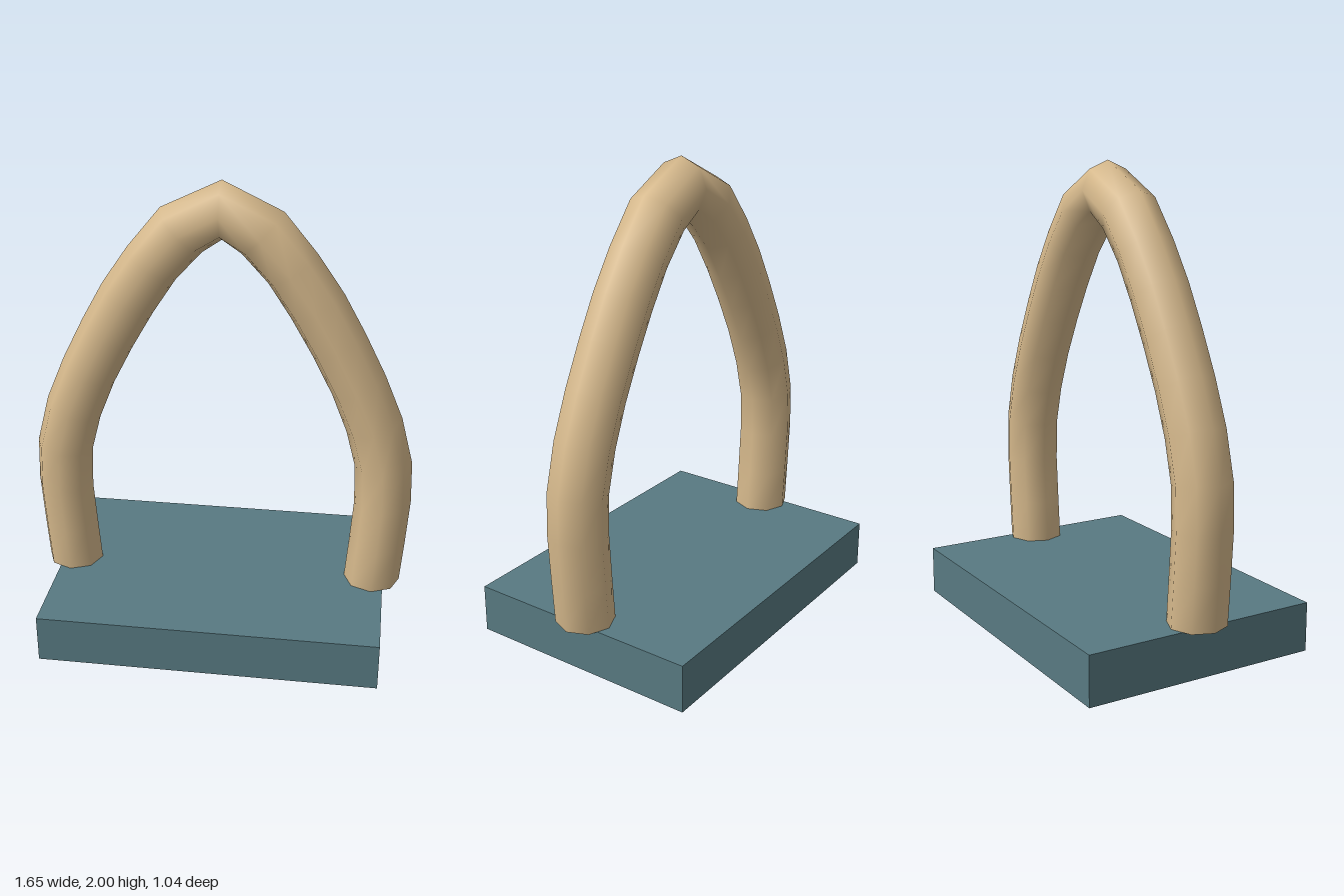
import * as THREE from 'three';

const SIDES = 8;
const RADIUS = 0.1225;

// One half of the arch, foot to peak: [outer x, outer y, inner x, inner y]
const halfArch = [
  [0.8, 0.21, 0.555, 0.21],
  [0.814, 0.4, 0.569, 0.39],
  [0.827, 0.61, 0.583, 0.59],
  [0.82, 0.8, 0.577, 0.77],
  [0.765, 1.01, 0.535, 0.93],
  [0.685, 1.2, 0.467, 1.1],
  [0.592, 1.385, 0.38, 1.27],
  [0.5, 1.55, 0.288, 1.43],
  [0.39, 1.71, 0.19, 1.58],
  [0.25, 1.88, 0.08, 1.7],
  [0, 2, 0, 1.755],
];

// Sweeps an eight-sided ring through the outer and inner outline pairs
function archGeometry() {
  const mirrored = halfArch.slice(0, -1).reverse().map(([ox, oy, ix, iy]) => [-ox, oy, -ix, iy]);
  const rings = [...halfArch, ...mirrored];
  const positions = [];
  const indices = [];
  rings.forEach(([ox, oy, ix, iy], i) => {
    for (let j = 0; j < SIDES; j++) {
      const a = (j / SIDES) * Math.PI * 2;
      const t = (1 + Math.cos(a)) / 2;
      positions.push(ix + (ox - ix) * t, iy + (oy - iy) * t, RADIUS * Math.sin(a));
      if (i < rings.length - 1) {
        const p = i * SIDES + j;
        const q = i * SIDES + ((j + 1) % SIDES);
        indices.push(p, p + SIDES, q, q, p + SIDES, q + SIDES);
      }
    }
  });
  const geometry = new THREE.BufferGeometry();
  geometry.setAttribute('position', new THREE.Float32BufferAttribute(positions, 3));
  geometry.setIndex(indices);
  geometry.computeVertexNormals();
  return geometry;
}

export function createModel() {
  const tan = new THREE.MeshStandardMaterial({ color: 0xd6b98c, side: THREE.DoubleSide });
  tan.name = 'tan';
  const slateTeal = new THREE.MeshStandardMaterial({ color: 0x587a82 });
  slateTeal.name = 'slate teal';

  const model = new THREE.Group();
  model.name = 'archOnBase';

  // Flat base slab
  const base = new THREE.Mesh(new THREE.BoxGeometry(1.455, 0.21, 1.04), slateTeal);
  base.name = 'base';
  base.position.y = 0.105;
  model.add(base);

  // Pointed tubular arch with open feet overhanging the slab
  const arch = new THREE.Mesh(archGeometry(), tan);
  arch.name = 'arch';
  model.add(arch);

  return model;
}
